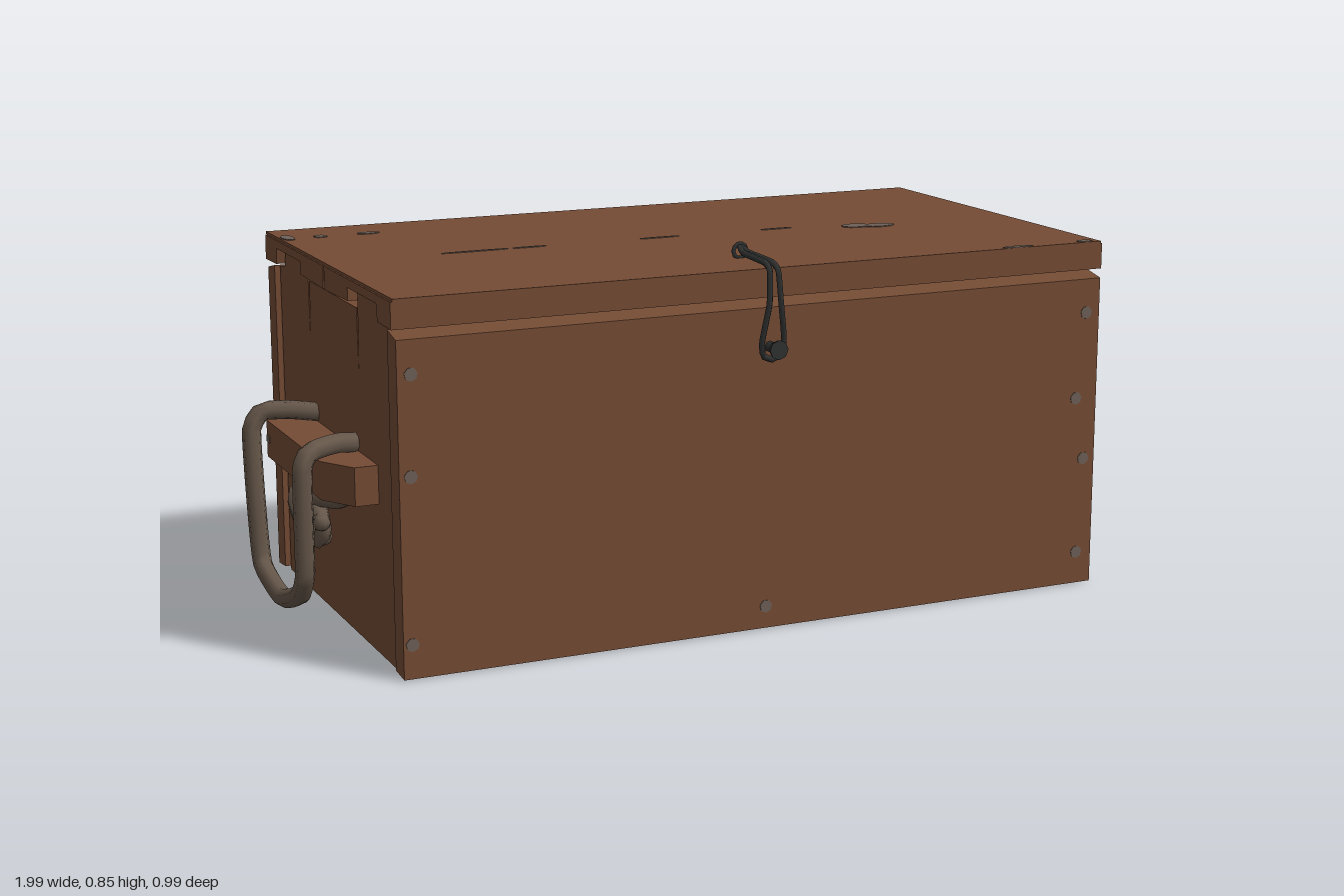
import * as THREE from 'three';

const material = (name, color) => {
  const m = new THREE.MeshStandardMaterial({ color });
  m.name = name;
  return m;
};

export function createModel() {
  const wood = material('brown wood', 0x744b34);
  const worn = material('worn grey wood', 0x6e6057);
  const ropeMat = material('rope', 0x66574a);
  const iron = material('dark iron', 0x2f3130);
  const chest = new THREE.Group();
  chest.name = 'chest';

  const add = (parent, name, geometry, mat) => {
    const mesh = new THREE.Mesh(geometry, mat);
    mesh.name = name;
    parent.add(mesh);
    return mesh;
  };
  const box = (parent, name, [x0, x1], [y0, y1], [z0, z1], mat = wood) =>
    add(parent, name, new THREE.BoxGeometry(x1 - x0, y1 - y0, z1 - z0)
      .translate((x0 + x1) / 2, (y0 + y1) / 2, (z0 + z1) / 2), mat);
  // Extrudes an outline given as [z, y] pairs between two x positions
  const profile = (parent, name, points, x0, x1) => {
    const shape = new THREE.Shape(points.map(([z, y]) => new THREE.Vector2(-z, y)));
    const geometry = new THREE.ExtrudeGeometry(shape, { depth: x1 - x0, bevelEnabled: false });
    return add(parent, name, geometry.rotateY(Math.PI / 2).translate(x0, 0, 0), wood);
  };
  // Tube through points, with rounded ends
  const cord = (parent, name, points, radius, mat, segments, sides = 7) => {
    const v = points.map((p) => new THREE.Vector3(...p));
    const curve = new THREE.CatmullRomCurve3(v, false, 'catmullrom', 0.25);
    add(parent, name, new THREE.TubeGeometry(curve, segments, radius, sides), mat);
    for (const end of [v[0], v[v.length - 1]]) {
      add(parent, name + 'End', new THREE.SphereGeometry(radius, sides, 4).translate(end.x, end.y, end.z), mat);
    }
  };

  // Front and back walls, two boards each, with a sloped top edge
  const wall = (name, inner, outer) => {
    profile(chest, name + 'LowerBoard', [[inner, 0.01], [outer, 0.005], [outer, 0.37], [inner, 0.37]], -0.845, 0.845);
    profile(chest, name + 'UpperBoard', [[inner, 0.37], [outer, 0.37], [outer, 0.728], [inner, 0.74]], -0.845, 0.845);
  };
  wall('front', 0.395, 0.45);
  wall('back', -0.435, -0.49);

  // End walls: two plain boards and a top board with tabs and splits
  for (const s of [-1, 1]) {
    const [x0, x1] = s > 0 ? [0.78, 0.833] : [-0.833, -0.78];
    box(chest, 'endLowerBoard', [x0, x1], [0.002, 0.25], [-0.43, 0.39]);
    box(chest, 'endMiddleBoard', [x0, x1], [0.25, 0.495], [-0.43, 0.39]);
    profile(chest, 'endTabbedBoard', [
      [0.39, 0.495], [0.39, 0.738], [0.35, 0.745], [0.343, 0.782], [0.163, 0.782],
      [0.158, 0.6], [0.153, 0.742], [-0.194, 0.742], [-0.199, 0.6], [-0.204, 0.782],
      [-0.381, 0.782], [-0.388, 0.745], [-0.43, 0.738], [-0.43, 0.495],
    ], x0, x1);
  }
  box(chest, 'floor', [-0.8, 0.8], [0.018, 0.05], [-0.434, 0.394]);

  // Lid: two boards notched over the tabs, under a thin top skin
  const lid = new THREE.Group();
  lid.name = 'lid';
  chest.add(lid);
  profile(lid, 'lidFrontBoard', [
    [0.442, 0.748], [0.442, 0.806], [-0.015, 0.806], [-0.012, 0.754], [0.154, 0.758],
    [0.154, 0.787], [0.348, 0.787], [0.354, 0.75],
  ], -0.852, 0.852);
  profile(lid, 'lidBackBoard', [
    [-0.024, 0.754], [-0.018, 0.806], [-0.48, 0.806], [-0.482, 0.748], [-0.394, 0.75],
    [-0.386, 0.787], [-0.195, 0.787], [-0.195, 0.758],
  ], -0.852, 0.852);
  box(lid, 'lidTopSkin', [-0.848, 0.848], [0.806, 0.812], [-0.488, 0.444]);

  // Carrying handles: a tapered block, a hanging rope and its knot
  for (const s of [-1, 1]) {
    const handle = new THREE.Group();
    handle.name = s > 0 ? 'leftHandle' : 'rightHandle';
    chest.add(handle);
    const outline = [[0.83, -0.31], [0.885, -0.31], [0.935, -0.225], [0.935, 0.19], [0.885, 0.273], [0.83, 0.273]];
    const shape = new THREE.Shape(outline.map(([x, z]) => new THREE.Vector2(s * x, -z)));
    add(handle, 'handleBlock', new THREE.ExtrudeGeometry(shape, { depth: 0.085, bevelEnabled: false })
      .rotateX(-Math.PI / 2).translate(0, 0.34, 0), wood);
    const rope = (name, points, radius, segments) =>
      cord(handle, name, points.map(([x, y, z]) => [s * x, y, z]), radius, ropeMat, segments);
    rope('handleRope', [
      [0.83, 0.44, 0.12], [0.89, 0.452, 0.155], [0.955, 0.447, 0.187], [0.976, 0.41, 0.198],
      [0.975, 0.18, 0.19], [0.97, 0.115, 0.125], [0.965, 0.065, -0.03], [0.97, 0.105, -0.175],
      [0.975, 0.25, -0.192], [0.976, 0.41, -0.203], [0.95, 0.45, -0.205], [0.89, 0.452, -0.19], [0.83, 0.445, -0.17],
    ], 0.022, 60);
    rope('knotRopeFront', [[0.86, 0.345, 0.16], [0.87, 0.315, 0.12], [0.9, 0.3, 0.02], [0.915, 0.265, -0.04], [0.89, 0.237, -0.095]], 0.02, 16);
    rope('knotRopeBack', [[0.86, 0.345, -0.19], [0.87, 0.31, -0.15], [0.88, 0.285, -0.03], [0.9, 0.255, 0.07]], 0.02, 14);
    rope('knotTail', [[0.89, 0.215, 0.04], [0.925, 0.25, 0.015], [0.93, 0.3, -0.02], [0.895, 0.32, -0.01]], 0.022, 12);
    add(handle, 'knotLoop', new THREE.TorusGeometry(0.035, 0.018, 6, 10).rotateY(Math.PI / 2 - 0.3 * s)
      .translate(s * 0.905, 0.24, 0.03), ropeMat);
    box(handle, 'blockScuff', s > 0 ? [0.933, 0.937] : [-0.937, -0.933], [0.376, 0.392], [-0.222, -0.2], worn);
  }

  // Latch: bent wire loop hooked over a peg
  const latch = new THREE.Group();
  latch.name = 'latch';
  chest.add(latch);
  for (const s of [-1, 1]) {
    cord(latch, 'latchWire', [
      [0, 0.84, 0.295], [s * 0.006, 0.828, 0.33], [s * 0.008, 0.824, 0.44], [s * 0.01, 0.81, 0.468],
      [s * 0.014, 0.74, 0.475], [s * 0.026, 0.66, 0.466], [s * 0.022, 0.625, 0.462], [0, 0.615, 0.462],
    ], 0.007, iron, 36, 6);
  }
  add(latch, 'latchPeg', new THREE.CylinderGeometry(0.012, 0.012, 0.06, 8).rotateX(Math.PI / 2).translate(0, 0.642, 0.465), iron);
  add(latch, 'latchPegHead', new THREE.CylinderGeometry(0.022, 0.018, 0.014, 8).rotateX(Math.PI / 2).translate(0, 0.642, 0.489), iron);
  add(latch, 'lidStaple', new THREE.TorusGeometry(0.016, 0.005, 5, 10).translate(0, 0.828, 0.3), iron);

  // Worn spots on the walls
  const wallSpots = [[-0.815, 0.655], [-0.82, 0.44], [-0.825, 0.08], [0.81, 0.65], [0.79, 0.45], [0.815, 0.305], [0.805, 0.08], [-0.005, 0.055]];
  for (const [x, y] of wallSpots) {
    const disc = () => new THREE.CylinderGeometry(0.015, 0.015, 0.003, 7).rotateX(Math.PI / 2);
    add(chest, 'frontScuff', disc().translate(x, y, 0.45), worn);
    add(chest, 'backScuff', disc().translate(-x, y, -0.49), worn);
  }
  // Worn spots on the lid: x, z, half width, half depth
  const lidSpots = [
    [-0.83, -0.37, 0.015, 0.035], [-0.755, -0.36, 0.016, 0.016], [-0.64, -0.36, 0.028, 0.012],
    [0.44, 0.02, 0.035, 0.025], [0.495, 0.035, 0.04, 0.022], [0.63, 0.435, 0.04, 0.009], [0.81, 0.432, 0.02, 0.011],
    [-0.5, -0.022, 0.08, 0.004], [-0.37, -0.022, 0.04, 0.004], [-0.05, -0.02, 0.05, 0.004], [0.25, -0.02, 0.04, 0.004],
  ];
  for (const [x, z, w, d] of lidSpots) {
    add(lid, 'lidScuff', new THREE.CylinderGeometry(1, 1, 0.003, 9).scale(w, 1, d).translate(x, 0.8125, z), worn);
  }
  return chest;
}
